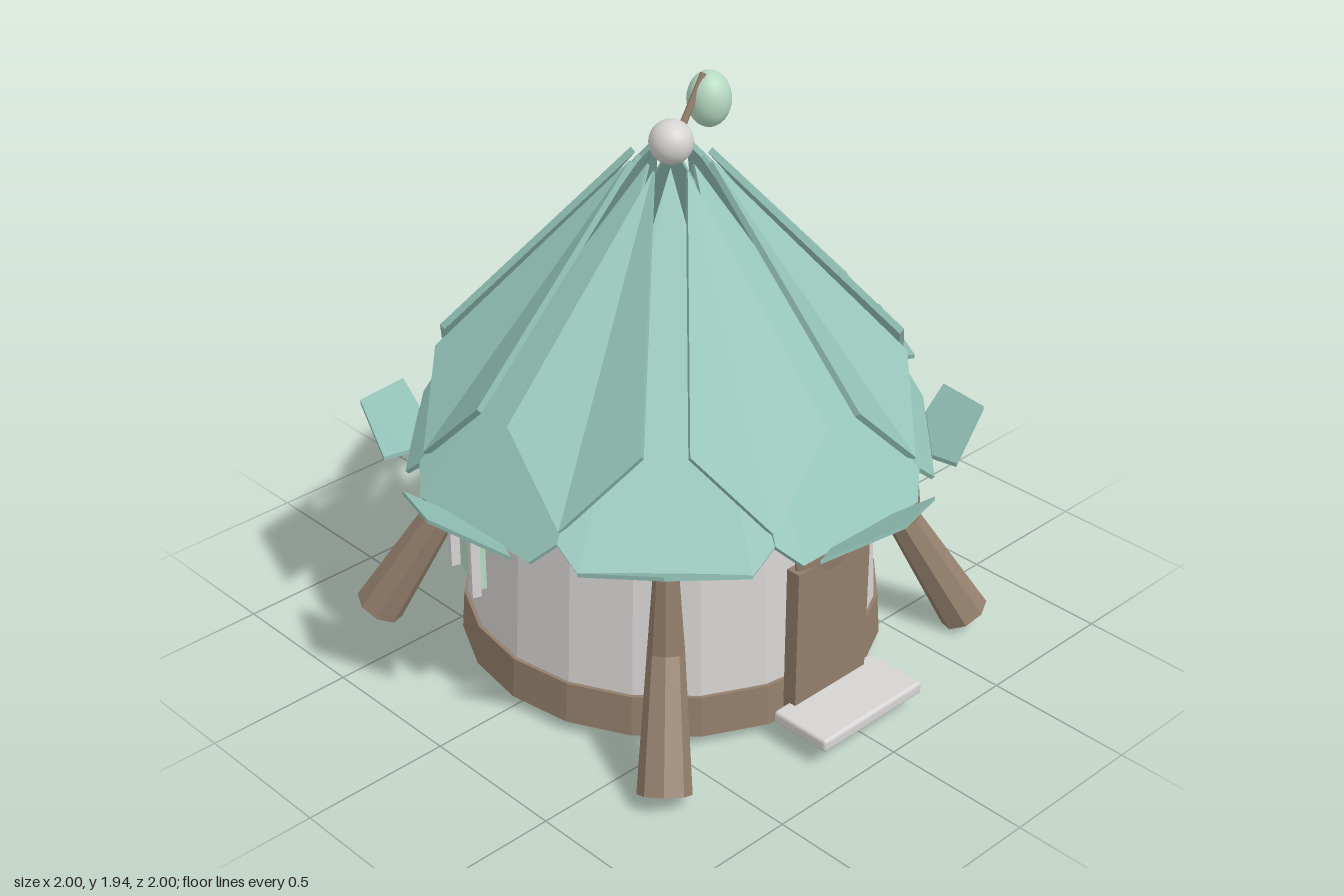
import * as THREE from 'three';
import { RoundedBoxGeometry } from 'three/addons/geometries/RoundedBoxGeometry.js';

const material = (name, color, flatShading = true) =>
  Object.assign(new THREE.MeshStandardMaterial({ color, flatShading }), { name });

// Closed thin plate: a fan over the loop of points, doubled at the given offset
function plate(points, offset) {
  const n = points.length, pos = [], index = [];
  points.forEach(p => pos.push(...p));
  points.forEach(p => pos.push(p[0] + offset[0], p[1] + offset[1], p[2] + offset[2]));
  for (let i = 1; i < n - 1; i++) index.push(0, i, i + 1, n, n + i + 1, n + i);
  for (let i = 0; i < n; i++) {
    const j = (i + 1) % n;
    index.push(i, n + i, n + j, i, n + j, j);
  }
  const g = new THREE.BufferGeometry();
  g.setAttribute('position', new THREE.Float32BufferAttribute(pos, 3));
  g.setIndex(index);
  const flat = g.toNonIndexed();
  flat.computeVertexNormals();
  return flat;
}

export function createModel() {
  const root = new THREE.Group();
  root.name = 'roundHut';
  const canvas = material('tealCanvas', 0x94c3b8);
  const plaster = material('palePlaster', 0xd6d4d3);
  const wood = material('brownWood', 0x927e6b);
  const glass = material('mintGlass', 0xb6dac2);
  const smoothWood = wood, smoothGlass = glass, smoothPlaster = plaster;

  function add(parent, name, geometry, mat, x = 0, y = 0, z = 0) {
    const m = new THREE.Mesh(geometry, mat);
    m.name = name;
    m.position.set(x, y, z);
    parent.add(m);
    return m;
  }
  function ellipsoid(parent, name, mat, center, radii) {
    const g = new THREE.SphereGeometry(1, 24, 16).scale(...radii);
    return add(parent, name, g, mat, ...center);
  }
  // Tapered rod between two points
  function rod(parent, name, a, b, ra, rb, sides) {
    const A = new THREE.Vector3(...a), B = new THREE.Vector3(...b);
    const dir = B.clone().sub(A);
    const m = add(parent, name, new THREE.CylinderGeometry(rb, ra, dir.length(), sides), wood);
    m.position.copy(A).add(B).multiplyScalar(0.5);
    m.quaternion.setFromUnitVectors(new THREE.Vector3(0, 1, 0), dir.normalize());
    return m;
  }

  // Body
  add(root, 'plinth', new THREE.CylinderGeometry(0.69, 0.7, 0.14, 20), wood, 0, 0.11, 0);
  add(root, 'wall', new THREE.CylinderGeometry(0.645, 0.68, 0.66, 20), plaster, 0, 0.47, 0);
  add(root, 'wallCollar', new THREE.CylinderGeometry(0.665, 0.665, 0.03, 20), plaster, 0, 0.775, 0);

  // Roof: eight tapering panels, eight folded kites over the ridges, eight upturned eave flaps
  const panel = plate([
    [0, 1.71, 0.1], [-0.32, 0.8, 0.775], [-0.255, 0.73, 0.83],
    [0.255, 0.73, 0.83], [0.32, 0.8, 0.775],
  ], [0, -0.01, -0.01]);
  const kite = plate([
    [0, 1.71, 0.135], [-0.218, 1.08, 0.71], [0, 0.835, 0.825], [0.218, 1.08, 0.71],
  ], [0, -0.015, -0.015]);
  const flap = plate([
    [0, 0.84, 1.0], [0.255, 0.78, 0.895], [0.14, 0.74, 0.83],
    [-0.14, 0.74, 0.83], [-0.255, 0.78, 0.895],
  ], [0, -0.014, 0]);
  const roof = new THREE.Group();
  roof.name = 'roof';
  root.add(roof);
  for (let i = 0; i < 8; i++) {
    const angle = i * Math.PI / 4;
    add(roof, 'roofPanel', panel, canvas).rotation.y = angle;
    add(roof, 'roofKite', kite, canvas).rotation.y = angle + Math.PI / 8;
    add(roof, 'eaveFlap', flap, canvas).rotation.y = angle;
  }

  // Bent corner struts
  for (const sx of [-1, 1]) for (const sz of [-1, 1]) {
    const strut = new THREE.Group();
    strut.name = 'cornerStrut';
    root.add(strut);
    const top = [sx * 0.53, 0.78, sz * 0.53];
    const knee = [sx * 0.54, 0.41, sz * 0.54];
    const foot = [sx * 0.695, 0.045, sz * 0.695];
    rod(strut, 'upperStrut', top, knee, 0.033, 0.058, 8);
    rod(strut, 'lowerStrut', knee, foot, 0.058, 0.085, 8);
  }

  // Door and step
  add(root, 'door', new THREE.BoxGeometry(0.32, 0.52, 0.05), wood, 0, 0.34, 0.7);
  ellipsoid(root, 'doorArch', smoothWood, [0, 0.615, 0.7], [0.15, 0.1, 0.03]);
  add(root, 'step', new RoundedBoxGeometry(0.45, 0.045, 0.22, 2, 0.012), plaster, 0, 0.09, 0.805);

  // Three windows, a quarter turn apart
  for (let i = 0; i < 3; i++) {
    const win = new THREE.Group();
    win.name = 'window';
    win.rotation.y = THREE.MathUtils.degToRad(70 + 90 * i);
    root.add(win);
    add(win, 'windowPane', new THREE.BoxGeometry(0.16, 0.24, 0.03), glass, 0, 0.48, 0.69);
    ellipsoid(win, 'windowArch', smoothGlass, [0, 0.6, 0.69], [0.075, 0.06, 0.018]);
    for (const s of [-1, 1])
      add(win, 'shutter', new THREE.BoxGeometry(0.03, 0.255, 0.03), plaster, s * 0.1, 0.487, 0.72);
  }

  // Finial with a hanging lantern
  ellipsoid(root, 'finialBall', smoothPlaster, [0, 1.75, 0], [0.07, 0.07, 0.07]);
  rod(root, 'lanternArm', [0.03, 1.76, 0], [0.135, 1.935, 0], 0.012, 0.01, 8);
  ellipsoid(root, 'lantern', smoothGlass, [0.16, 1.845, 0], [0.07, 0.09, 0.07]);

  // Balls and arches are smooth
  const smooth = { doorArch: wood, windowArch: glass, finialBall: plaster, lantern: glass };
  const faceted = (g) => {
    const f = g.index ? g.toNonIndexed() : g;
    f.computeVertexNormals();
    return f;
  };
  for (const m of [wood, glass, plaster]) m.flatShading = false;
  root.traverse(o => {
    if (o.isMesh && !smooth[o.name]) o.geometry = faceted(o.geometry);
  });
  return root;
}
